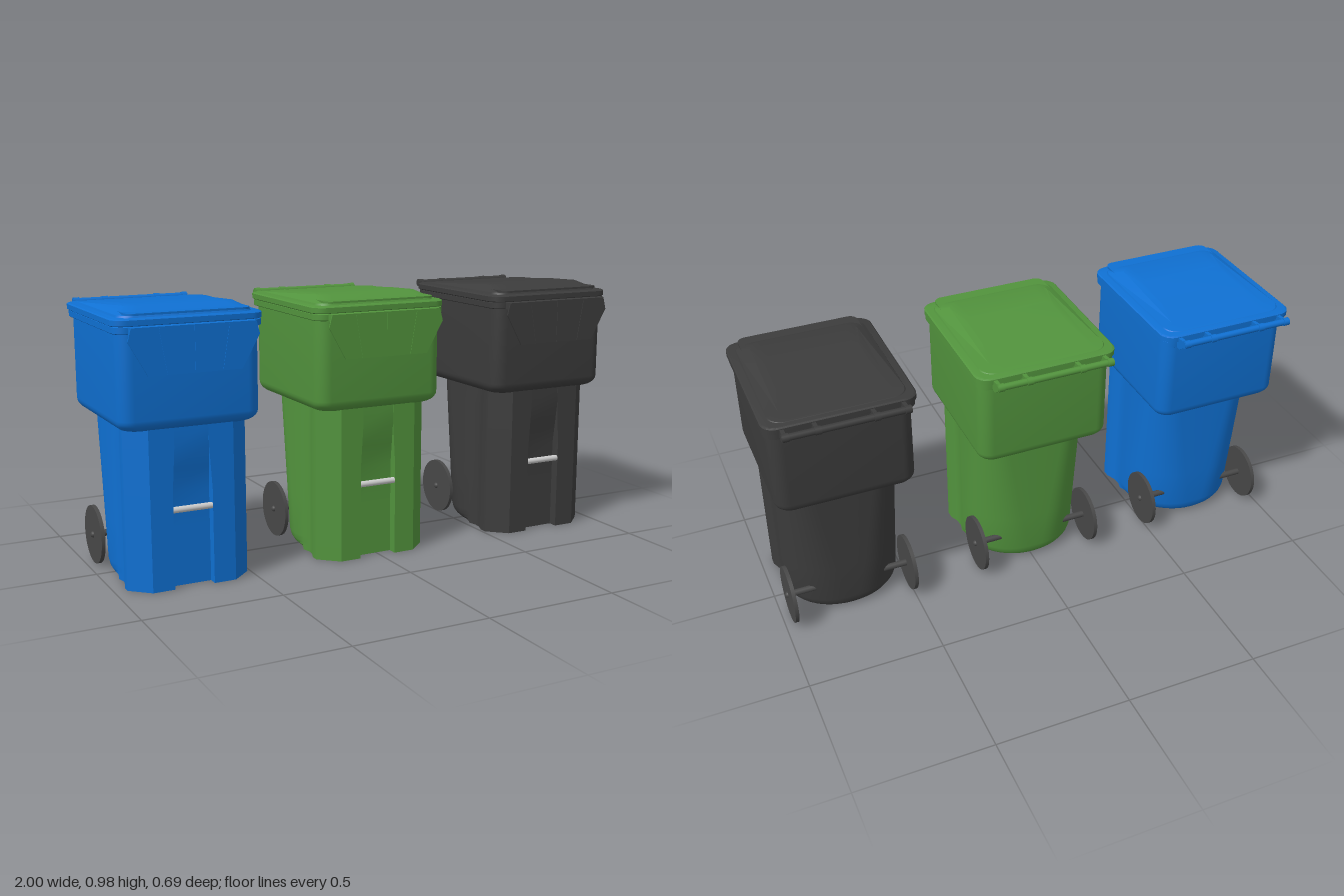
import * as THREE from 'three';
import { toCreasedNormals } from 'three/addons/utils/BufferGeometryUtils.js';

// Skin a stack of rings (arrays of [x, y, z], counter-clockwise from above) and cap both ends.
function loft(rings, crease = 0.6) {
  const n = rings[0].length, idx = [];
  for (let r = 0; r < rings.length - 1; r++) {
    for (let i = 0; i < n; i++) {
      const a = r * n + i, b = r * n + (i + 1) % n;
      idx.push(a, b, b + n, a, b + n, a + n);
    }
  }
  const flat = ring => ring.map(p => new THREE.Vector2(p[0], -p[2]));
  const last = (rings.length - 1) * n;
  for (const [a, b, c] of THREE.ShapeUtils.triangulateShape(flat(rings[0]), [])) idx.push(a, c, b);
  for (const [a, b, c] of THREE.ShapeUtils.triangulateShape(flat(rings.at(-1)), [])) {
    idx.push(last + a, last + b, last + c);
  }
  const g = new THREE.BufferGeometry();
  g.setAttribute('position', new THREE.Float32BufferAttribute(rings.flat(2), 3));
  g.setIndex(idx);
  return toCreasedNormals(g, crease);
}

// Rounded rectangle ring; y is a height or a function of z.
function roundRect(hx, zBack, zFront, r, y) {
  const pts = [];
  const corners = [[hx - r, zFront - r, 0], [hx - r, zBack + r, 1], [r - hx, zBack + r, 2], [r - hx, zFront - r, 3]];
  for (const [cx, cz, q] of corners) {
    for (let i = 0; i <= 8; i++) {
      const a = (q + i / 8) * Math.PI / 2;
      const z = cz + r * Math.cos(a);
      pts.push([cx + r * Math.sin(a), typeof y === 'function' ? y(z) : y, z]);
    }
  }
  return pts;
}

// Lower body outline: faceted front with grip recess, side groove, rounded back.
function bodyRing(y) {
  const inset = y < 0.05 ? 0.035 * (1 - Math.sqrt(1 - (1 - y / 0.05) ** 2)) : 0;
  const R = THREE.MathUtils.lerp(0.2, 0.11, y / 0.565);
  const t = THREE.MathUtils.clamp((0.5 - y) / 0.16, 0, 1);
  const w = 0.062 + 0.01 * t, depth = 0.001 + 0.034 * t;
  const half = [[w, 0.28 - depth], [w, 0.28], [0.152, 0.28], [0.222, 0.215], [0.222, 0.185],
    [0.208, 0.15], [0.204, 0.12], [0.212, 0.085]];
  const hw = 0.22 - inset, zb = -0.168 + inset;
  for (let i = 0; i <= 12; i++) {
    const a = i / 12 * Math.PI / 2;
    half.push([hw - R + R * Math.cos(a), zb + R - R * Math.sin(a)]);
  }
  const mirrored = half.map(([x, z]) => [-x, z]).reverse();
  return [...half, ...mirrored].map(([x, z]) => [x, y, z]);
}

function createBin(color) {
  const bin = new THREE.Group();
  const shell = new THREE.MeshStandardMaterial({ color, side: THREE.DoubleSide });
  const rubber = new THREE.MeshStandardMaterial({ color: 0x484848 });
  const metal = new THREE.MeshStandardMaterial({ color: 0xcccccc });
  const add = (name, geo, mat = shell, x = 0, y = 0, z = 0) => {
    const m = new THREE.Mesh(geo, mat);
    m.name = name;
    m.position.set(x, y, z);
    bin.add(m);
    return m;
  };
  const rod = (r, len, seg = 20) => new THREE.CylinderGeometry(r, r, len, seg).rotateZ(Math.PI / 2);

  // Lower body with its grab bar
  add('lowerBody', loft([0, 0.006, 0.016, 0.03, 0.05, 0.2, 0.34, 0.42, 0.5, 0.575].map(bodyRing)));
  add('grabBar', rod(0.011, 0.144), metal, 0, 0.28, 0.27);

  // Wide upper body with a rounded lower edge
  const upper = [];
  for (let i = 0; i <= 6; i++) {
    const a = i / 6 * Math.PI / 2, s = 0.04 * (1 - Math.sin(a));
    upper.push(roundRect(0.252 - s, -0.255 + s, 0.305 - s, 0.05, 0.565 + 0.04 * (1 - Math.cos(a))));
  }
  upper.push(roundRect(0.252, -0.255, 0.305, 0.05, 0.9));
  add('upperBody', loft(upper));

  // Rim: lower band and lid edge with a seam between
  add('rimBand', loft([[0.258, 0.895], [0.262, 0.898], [0.262, 0.918], [0.257, 0.921]].map(
    ([h, y]) => roundRect(h, -0.01 - h, 0.05 + h, 0.045, y))));
  add('lidEdge', loft([[0.261, 0.919], [0.267, 0.923], [0.267, 0.941], [0.262, 0.945]].map(
    ([h, y]) => roundRect(h, -0.013 - h, 0.045 + h, 0.05, y))));

  // Raised lid, highest near the front and sloping to the back
  const slope = z => (z > 0.1 ? 0.975 : THREE.MathUtils.mapLinear(z, 0.1, -0.255, 0.975, 0.948));
  add('lidCrown', loft([
    roundRect(0.24, -0.255, 0.285, 0.05, 0.943),
    roundRect(0.236, -0.252, 0.28, 0.05, z => Math.min(0.952, slope(z) - 0.002)),
    roundRect(0.195, -0.235, 0.222, 0.04, slope),
    roundRect(0.17, -0.1, 0.1, 0.03, slope)], 0.4));
  add('lidLip', loft([0.954, 0.961].map(y => roundRect(0.22, 0.18, 0.303, 0.03, y))));

  // Front flap hanging from a short ledge, with fanned ribs
  add('flapLedge', new THREE.BoxGeometry(0.436, 0.025, 0.045), shell, 0, 0.9075, 0.3195);
  const flap = new THREE.Shape([[-0.165, 0.76], [0.165, 0.76], [0.23, 0.875], [0.218, 0.92], [-0.218, 0.92],
    [-0.23, 0.875]].map(p => new THREE.Vector2(...p)));
  add('frontFlap', new THREE.ExtrudeGeometry(flap, { depth: 0.005, bevelEnabled: false }), shell, 0, 0, 0.337);
  for (const x of [-0.11, 0, 0.11]) {
    const rib = add('flapRib', new THREE.BoxGeometry(0.004, 0.155, 0.003), shell, x, 0.838, 0.3425);
    rib.rotation.z = -x * 1.5;
  }

  // Rear handle on four sloping struts
  add('handleBar', rod(0.012, 0.44), shell, 0, 0.937, -0.328);
  const strut = new THREE.Shape([[0.25, 0.897], [0.292, 0.897], [0.335, 0.93], [0.33, 0.943], [0.3, 0.94],
    [0.25, 0.935]].map(p => new THREE.Vector2(...p)));
  const strutGeo = new THREE.ExtrudeGeometry(strut, { depth: 0.014, bevelEnabled: false })
    .translate(0, 0, -0.007).rotateY(Math.PI / 2);
  for (const x of [-0.207, -0.1, 0.1, 0.207]) {
    add('handleStrut', strutGeo, shell, x);
    add('handleCollar', rod(0.0145, 0.022), shell, x, 0.937, -0.328);
  }

  // Wheels on a through axle
  add('axle', rod(0.012, 0.46), rubber, 0, 0.108, -0.13);
  for (const s of [-1, 1]) {
    add('wheel', rod(0.107, 0.014, 48), rubber, s * 0.23, 0.108, -0.13);
    add('wheelHub', new THREE.SphereGeometry(0.012, 16, 10), rubber, s * 0.235, 0.108, -0.13);
  }
  return bin;
}

export function createModel() {
  const model = new THREE.Group();
  const bins = [['blueBin', 0x0f70d2, -0.733], ['greenBin', 0x52933d, -0.012], ['blackBin', 0x3c3c3c, 0.733]];
  for (const [name, color, x] of bins) {
    const bin = createBin(color);
    bin.name = name;
    bin.position.x = x;
    model.add(bin);
  }
  return model;
}
